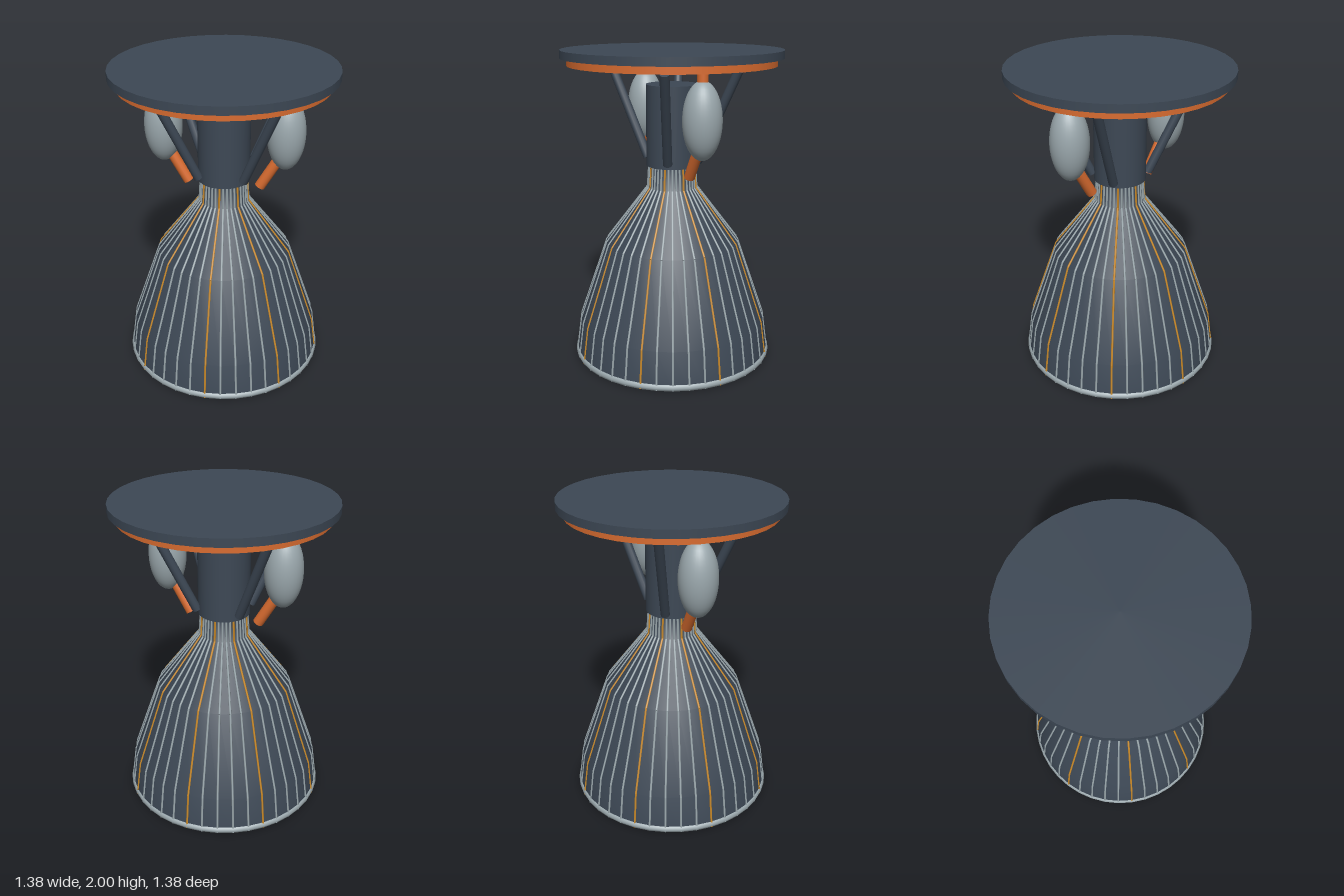
import * as THREE from 'three';
import { mergeGeometries } from 'three/addons/utils/BufferGeometryUtils.js';

const mat = (name, color, side = THREE.FrontSide) =>
  Object.assign(new THREE.MeshStandardMaterial({ color, side }), { name });

const V = (x, y, z) => new THREE.Vector3(x, y, z);

// Cylinder running between two points
function rod(a, b, radius, sides = 12) {
  const dir = b.clone().sub(a);
  const geo = new THREE.CylinderGeometry(radius, radius, dir.length(), sides);
  geo.applyQuaternion(new THREE.Quaternion().setFromUnitVectors(V(0, 1, 0), dir.clone().normalize()));
  const mid = a.clone().add(b).multiplyScalar(0.5);
  return geo.translate(mid.x, mid.y, mid.z);
}

export function createModel() {
  const model = new THREE.Group();
  model.name = 'rocketEngine';

  const dark = mat('darkSteel', 0x3d4855, THREE.DoubleSide);
  const orange = mat('orangePaint', 0xd96c30);
  const grey = mat('lightGrey', 0x9aa7ac);
  const gold = mat('gold', 0xc98a2b);

  const add = (name, geo, material, parent = model) => {
    const mesh = new THREE.Mesh(geo, material);
    mesh.name = name;
    parent.add(mesh);
    return mesh;
  };

  // Mounting plate with the orange disc under it
  add('topPlate', new THREE.CylinderGeometry(0.692, 0.692, 0.05, 36), dark).position.y = 1.975;
  add('thrustDisc', new THREE.CylinderGeometry(0.652, 0.652, 0.047, 36), orange).position.y = 1.928;

  // Combustion chamber
  add('chamber', new THREE.CylinderGeometry(0.165, 0.165, 0.515, 32), dark).position.y = 1.5275;

  // Bell nozzle, open at the bottom
  const profile = [[0.643, 0.01], [0.61, 0.25], [0.43, 0.77], [0.158, 1.13], [0.148, 1.28]];
  add('nozzleBell', new THREE.LatheGeometry(profile.map(([r, y]) => new THREE.Vector2(r, y)), 40), dark);

  // Rim round the nozzle mouth
  const rim = add('nozzleRim', new THREE.TorusGeometry(0.627, 0.025, 8, 40), grey);
  rim.rotation.x = Math.PI / 2;
  rim.position.y = 0.025;

  // Cooling ribs along the bell, every fifth one gold
  const greyRibs = [], goldRibs = [];
  for (let i = 0; i < 40; i++) {
    const a = (i / 40) * Math.PI * 2;
    const path = profile.map(([r, y]) => V(r * Math.sin(a), y, r * Math.cos(a)));
    for (let k = 0; k < path.length - 1; k++) {
      (i % 5 ? greyRibs : goldRibs).push(rod(path[k], path[k + 1], 0.007, 6));
    }
  }
  add('coolingRibs', mergeGeometries(greyRibs), grey);
  add('goldRibs', mergeGeometries(goldRibs), gold);

  for (const s of [1, -1]) {
    // Pump tank with its feed pipes
    const pump = new THREE.Group();
    pump.name = s > 0 ? 'leftPump' : 'rightPump';
    model.add(pump);
    const tank = add('tank', new THREE.SphereGeometry(1, 32, 20), grey, pump);
    tank.scale.set(0.12, 0.238, 0.12);
    tank.position.set(0.385 * s, 1.605, 0);
    add('upperPipe', rod(V(0.385 * s, 1.7, 0), V(0.385 * s, 1.92, 0), 0.034, 16), orange, pump);
    add('lowerPipe', rod(V(0.23 * s, 1.233, 0), V(0.385 * s, 1.5, 0), 0.034, 16), orange, pump);

    // Slanted struts from the chamber towards the plate
    for (const f of [1, -1]) {
      add('strut', rod(V(0.142 * s, 1.305, 0.105 * f), V(0.382 * s, 1.887, 0.247 * f), 0.029, 12), dark);
    }
  }
  return model;
}
